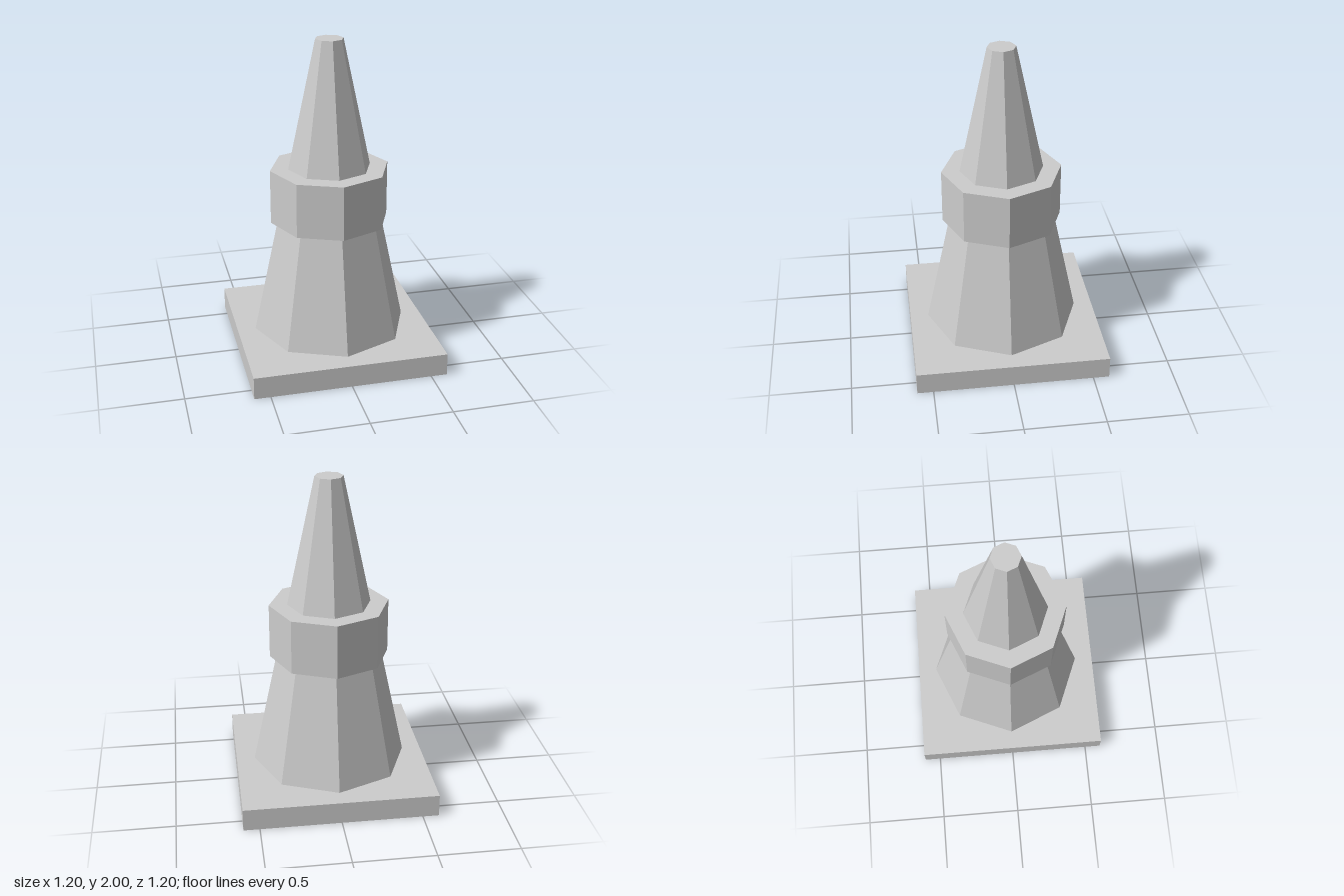
import * as THREE from 'three';

export function createModel() {
  const group = new THREE.Group();
  const grey = new THREE.MeshStandardMaterial({ color: 0xcccccc, flatShading: true });
  grey.name = 'light grey';

  // Adds a part resting on the given height
  const add = (name, geometry, bottom, height) => {
    const mesh = new THREE.Mesh(geometry, grey);
    mesh.name = name;
    mesh.position.y = bottom + height / 2;
    group.add(mesh);
  };

  // Octagonal parts have corners on the x and z axes
  const octagon = (top, bottom, height) => new THREE.CylinderGeometry(top, bottom, height, 8);

  add('base', new THREE.BoxGeometry(1.2, 0.14, 1.2), 0, 0.14);
  add('cone', octagon(0.086, 0.485, 1.86), 0.14, 1.86);
  add('collar', octagon(0.37, 0.37, 0.34), 0.862, 0.34);

  return group;
}
